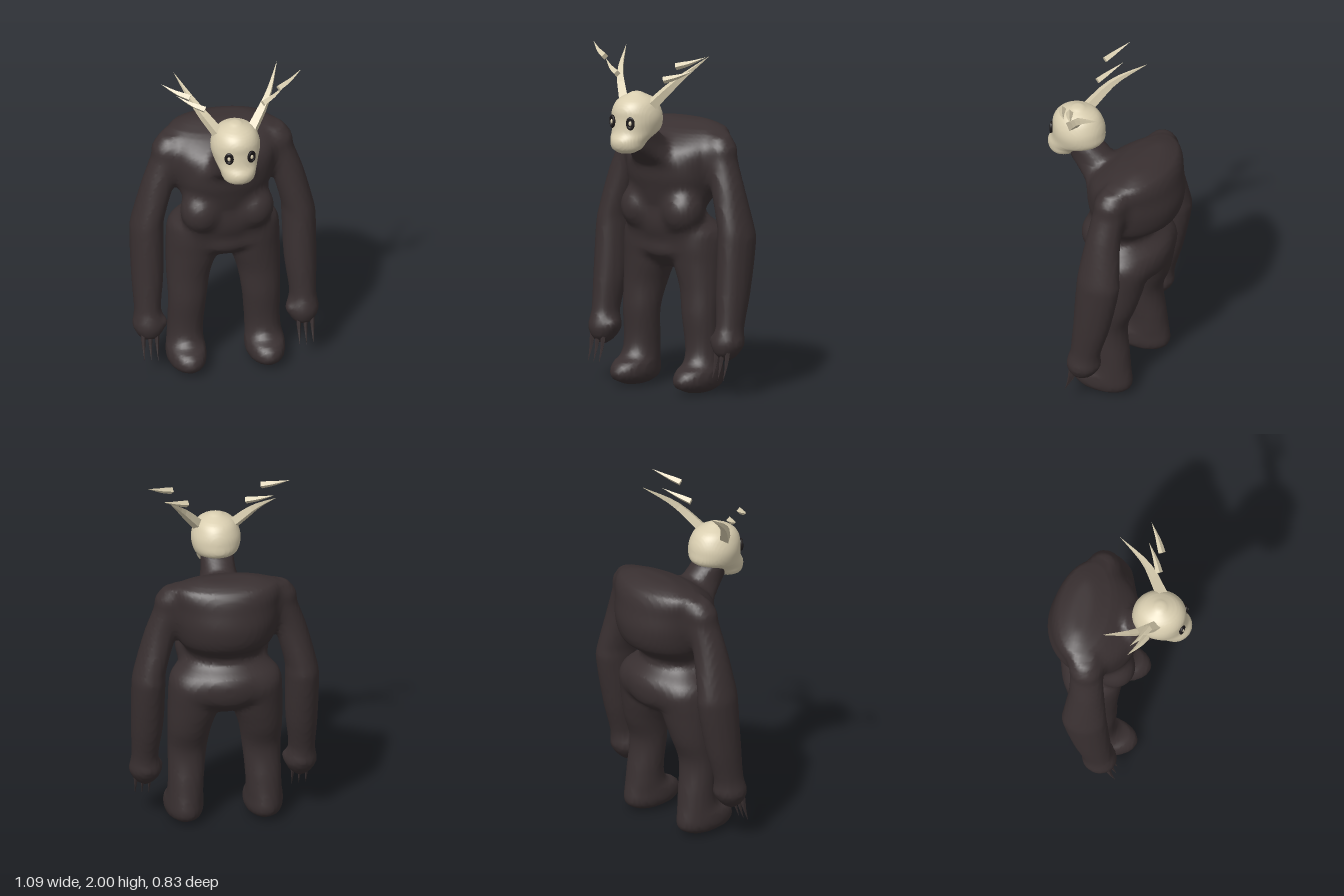
import * as THREE from 'three';

const fur = new THREE.MeshStandardMaterial({ name: 'dark fur', color: 0x393031 });
const bone = new THREE.MeshStandardMaterial({ name: 'bone', color: 0xd9ceb0 });
const black = new THREE.MeshStandardMaterial({ name: 'eye socket', color: 0x1c1819 });

// Solid through horizontal ellipses [y, cx, cz, rx, rz], bottom to top, as a signed distance
function stack(rows) {
  const last = rows.length - 1;
  const slope = (i, k) => {
    const a = rows[Math.max(i - 1, 0)], b = rows[Math.min(i + 1, last)];
    return (b[k] - a[k]) / (b[0] - a[0]);
  };
  return (x, y, z) => {
    const yc = Math.min(Math.max(y, rows[0][0]), rows[last][0]);
    let i = 0;
    while (i < last - 1 && yc > rows[i + 1][0]) i++;
    const h = rows[i + 1][0] - rows[i][0], t = (yc - rows[i][0]) / h, u = 1 - t;
    const [cx, cz, rx, rz] = [1, 2, 3, 4].map(k =>
      u * u * (1 + 2 * t) * rows[i][k] + t * t * (3 - 2 * t) * rows[i + 1][k]
      + h * t * u * (u * slope(i, k) - t * slope(i + 1, k)));
    const d = (Math.hypot((x - cx) / rx, (z - cz) / rz) - 1) * Math.min(rx, rz);
    return y === yc ? d : Math.hypot(Math.max(d, 0), y - yc);
  };
}

// Ellipsoid as a signed distance
const ball = (cx, cy, cz, rx, ry, rz) => (x, y, z) =>
  (Math.hypot((x - cx) / rx, (y - cy) / ry, (z - cz) / rz) - 1) * Math.min(rx, ry, rz);

// Union of two distances with a soft seam of width k
function blend(a, b, k) {
  const h = Math.max(k - Math.abs(a - b), 0);
  return Math.min(a, b) - h * h / (4 * k);
}

// Smooth surface where a distance field is zero: one vertex per crossed grid cell
function skin(field, min, max, cell) {
  const size = min.map((m, k) => Math.ceil((max[k] - m) / cell) + 1);
  const step = [1, size[0], size[0] * size[1]];
  const values = new Float32Array(step[2] * size[2]), ids = new Int32Array(values.length);
  const pos = [], idx = [];
  const each = (margin, fn) => {
    for (let z = 0; z < size[2] - margin; z++)
      for (let y = 0; y < size[1] - margin; y++)
        for (let x = 0; x < size[0] - margin; x++)
          fn(x + y * step[1] + z * step[2], [x, y, z]);
  };
  each(0, (n, p) => { values[n] = field(...p.map((v, k) => min[k] + v * cell)); });
  each(1, (n, p) => {
    const sum = [0, 0, 0];
    let count = 0;
    for (let c = 0; c < 8; c++) for (let d = 0; d < 3; d++) {
      if (c >> d & 1) continue;
      const o = [c & 1, c >> 1 & 1, c >> 2 & 1];
      const m = n + o[0] + o[1] * step[1] + o[2] * step[2];
      const a = values[m], b = values[m + step[d]];
      if ((a < 0) === (b < 0)) continue;
      o[d] = a / (a - b);
      o.forEach((v, k) => { sum[k] += v; });
      count++;
    }
    if (!count) return;
    ids[n] = pos.length / 3;
    pos.push(...sum.map((v, k) => min[k] + (p[k] + v / count) * cell));
  });
  each(1, n => {
    for (let d = 0; d < 3; d++) {
      const inside = values[n] < 0;
      if (inside === values[n + step[d]] < 0) continue;
      const u = step[(d + 1) % 3], v = step[(d + 2) % 3];
      const [a, b, c, e] = [n - u - v, n - v, n, n - u].map(q => ids[q]);
      if (inside) idx.push(a, b, c, a, c, e);
      else idx.push(a, c, b, a, e, c);
    }
  });
  const g = new THREE.BufferGeometry();
  g.setAttribute('position', new THREE.Float32BufferAttribute(pos, 3));
  g.setIndex(idx);
  g.computeVertexNormals();
  return g;
}

// Faceted spike with a closed base, tapering to a point along a curve
function spike(points, radius, sides = 4, segments = 7) {
  const curve = new THREE.CatmullRomCurve3(points.map(p => new THREE.Vector3(...p)));
  const g = new THREE.TubeGeometry(curve, segments, radius, sides, false);
  const p = g.attributes.position, v = new THREE.Vector3(), first = curve.getPointAt(0);
  for (let i = 0; i <= segments; i++) {
    const c = curve.getPointAt(i / segments);
    for (let j = 0; j <= sides; j++) {
      const k = i * (sides + 1) + j;
      v.fromBufferAttribute(p, k).sub(c);
      if (i === 0) v.copy(first);
      else if (i === 1) v.add(first);
      else v.multiplyScalar(1 - (i - 1) / (segments - 1)).add(c);
      p.setXYZ(k, v.x, v.y, v.z);
    }
  }
  const flat = g.toNonIndexed();
  flat.computeVertexNormals();
  return flat;
}

// Hunched torso, chest rising into the neck, belly and breast
const trunk = [
  stack([
    [0.72, 0, -0.13, 0.08, 0.09], [0.79, 0, -0.135, 0.22, 0.18], [0.87, 0, -0.145, 0.285, 0.196],
    [0.95, 0, -0.13, 0.27, 0.198], [1.03, 0, -0.09, 0.215, 0.165], [1.09, 0, -0.10, 0.23, 0.178],
    [1.16, 0, -0.14, 0.27, 0.235], [1.28, 0, -0.145, 0.305, 0.27], [1.40, 0, -0.15, 0.32, 0.25],
    [1.48, 0, -0.185, 0.315, 0.195], [1.53, 0, -0.21, 0.265, 0.13], [1.555, 0, -0.22, 0.15, 0.05],
  ]),
  stack([
    [1.02, 0, -0.05, 0.12, 0.08], [1.12, 0, -0.03, 0.18, 0.105], [1.22, 0, -0.01, 0.21, 0.11],
    [1.31, 0, 0.02, 0.175, 0.105], [1.40, 0, 0.09, 0.12, 0.14], [1.46, 0, 0.14, 0.10, 0.145],
    [1.54, 0, 0.20, 0.095, 0.105],
  ]),
  ball(0, 0.99, -0.045, 0.20, 0.12, 0.11),
  ball(0.153, 1.055, 0, 0.118, 0.133, 0.115),
];

// Leg and foot, the thigh running up into the hip
const leg = stack([
  [0.01, 0.23, -0.06, 0.05, 0.09], [0.03, 0.23, -0.05, 0.092, 0.155],
  [0.07, 0.23, -0.045, 0.112, 0.187], [0.13, 0.23, -0.055, 0.112, 0.172],
  [0.17, 0.228, -0.09, 0.105, 0.13], [0.25, 0.225, -0.10, 0.103, 0.11],
  [0.45, 0.215, -0.085, 0.112, 0.105], [0.60, 0.205, -0.11, 0.127, 0.13],
  [0.75, 0.18, -0.122, 0.151, 0.155], [0.87, 0.175, -0.125, 0.15, 0.168],
  [0.94, 0.17, -0.115, 0.135, 0.15], [1.00, 0.15, -0.10, 0.08, 0.10],
]);

// Long arm from rounded shoulder to ball-shaped hand, with thumb
const arm = stack([
  [0.22, 0.45, -0.03, 0.03, 0.03], [0.25, 0.45, -0.03, 0.065, 0.07],
  [0.31, 0.45, -0.04, 0.094, 0.10], [0.36, 0.452, -0.045, 0.085, 0.095],
  [0.41, 0.455, -0.055, 0.077, 0.09], [0.60, 0.449, -0.09, 0.091, 0.11],
  [0.90, 0.445, -0.13, 0.097, 0.13], [0.97, 0.438, -0.13, 0.093, 0.125],
  [1.20, 0.378, -0.13, 0.093, 0.10], [1.36, 0.328, -0.14, 0.088, 0.092],
  [1.43, 0.322, -0.145, 0.083, 0.088], [1.49, 0.31, -0.15, 0.05, 0.055],
]);
const thumb = ball(0.375, 0.33, -0.015, 0.03, 0.03, 0.035);

// Symmetric body; the arms join softly at the shoulders and stay clear of the legs
function body(px, y, z) {
  const x = Math.abs(px);
  const middle = [...trunk, leg].map(f => f(x, y, z)).reduce((a, b) => blend(a, b, 0.04));
  const limb = blend(arm(x, y, z), thumb(x, y, z), 0.02);
  return blend(middle, limb, y > 1.12 ? 0.05 : 0.005);
}

// Skull with short muzzle
const skull = stack([
  [1.428, 0, 0.33, 0.04, 0.04], [1.45, 0, 0.325, 0.085, 0.08], [1.50, 0, 0.30, 0.105, 0.12],
  [1.55, 0, 0.24, 0.128, 0.155], [1.62, 0, 0.23, 0.143, 0.155], [1.68, 0, 0.235, 0.131, 0.146],
  [1.73, 0, 0.235, 0.099, 0.109], [1.768, 0, 0.235, 0.03, 0.03],
]);

export function createModel() {
  const model = new THREE.Group();
  model.name = 'antleredCreature';
  const add = (name, geometry, material, parent = model) => {
    const mesh = new THREE.Mesh(geometry, material);
    mesh.name = name;
    parent.add(mesh);
    return mesh;
  };
  add('body', skin(body, [-0.6, -0.04, -0.48], [0.6, 1.62, 0.36], 0.02), fur);
  add('skull', skin(skull, [-0.18, 1.39, 0.04], [0.18, 1.81, 0.46], 0.012), bone);

  for (const s of [1, -1]) {
    const label = s > 0 ? 'left' : 'right';
    for (const x of [0.415, 0.455, 0.495]) {
      add(label + 'Claw', spike([
        [s * x, 0.28, 0.015], [s * x, 0.2, 0.03], [s * x, 0.11, 0.06]], 0.016, 5), fur);
    }

    // Antler beam and its two loose tines
    add(label + 'AntlerBeam', spike([
      [s * 0.10, 1.70, 0.225], [s * 0.21, 1.84, 0.12], [s * 0.305, 1.97, -0.055]], 0.036), bone);
    for (const [x, y] of [[0.17, 1.85], [0.26, 1.94]]) {
      add(label + 'AntlerTine', spike([[s * x, y, 0.2], [s * (x + 0.07), y + 0.022, 0.165],
        [s * (x + 0.153), y + 0.06, 0.112]], 0.021), bone);
    }

    // Eye: dark socket, raised rim and pale centre
    const eye = new THREE.Group();
    eye.name = label + 'Eye';
    eye.position.set(s * 0.064, 1.61, 0.371);
    eye.rotation.y = s * 0.35;
    add('socket', new THREE.SphereGeometry(1, 20, 14).scale(0.024, 0.036, 0.01), black, eye);
    add('rim', new THREE.TorusGeometry(0.02, 0.007, 8, 20).scale(1, 1.45, 1), black, eye).position.z = 0.005;
    add('eyeball', new THREE.SphereGeometry(1, 16, 12).scale(0.01, 0.015, 0.01), bone, eye).position.z = 0.006;
    model.add(eye);
  }
  return model;
}
